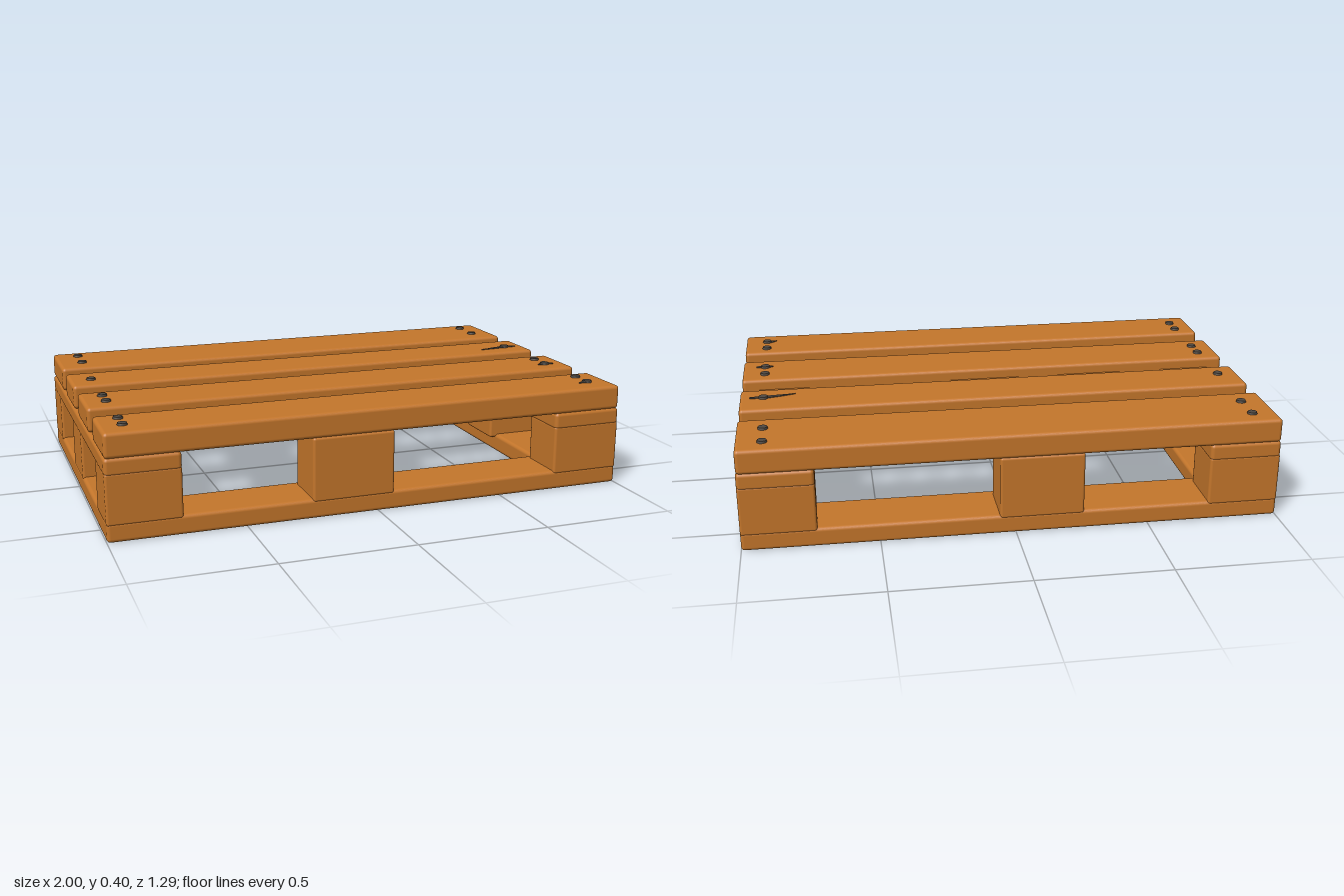
import * as THREE from 'three';
import { RoundedBoxGeometry } from 'three/addons/geometries/RoundedBoxGeometry.js';

export function createModel() {
  const model = new THREE.Group();
  model.name = 'pallet';
  const wood = new THREE.MeshStandardMaterial({ name: 'wood', color: 0xc4762b });
  const iron = new THREE.MeshStandardMaterial({ name: 'nail iron', color: 0x4f4841 });

  // Softly rounded timber given by its extents on each axis
  function timber(name, [x0, x1], [y0, y1], [z0, z1], r = 0.014) {
    const geo = new RoundedBoxGeometry(x1 - x0, y1 - y0, z1 - z0, 3, r);
    const mesh = new THREE.Mesh(geo, wood);
    mesh.name = name;
    mesh.position.set((x0 + x1) / 2, (y0 + y1) / 2, (z0 + z1) / 2);
    model.add(mesh);
  }

  const ends = [[-1, -0.73], [0.725, 1]];
  const middle = [-0.255, 0.06];
  const front = [0.45, 0.643];
  const back = [-0.643, -0.448];

  // Bottom frame: two long runners joined by two end runners
  timber('frontRunner', [-1, 1], [0, 0.073], [0.43, 0.643]);
  timber('backRunner', [-1, 1], [0, 0.073], [-0.643, -0.42]);
  for (const [a, b] of [[-1, -0.75], [0.75, 1]]) {
    timber('endRunner', [a, b], [0, 0.073], [-0.643, 0.643]);
  }

  // Spacer blocks: corners, end middles and the centres of the long sides
  for (const x of ends) {
    for (const z of [front, [-0.1, 0.113], back]) timber('endBlock', x, [0.06, 0.25], z, 0.01);
    timber('endCrossBoard', x, [0.237, 0.303], [-0.643, 0.643]);
  }
  for (const z of [front, back]) timber('middleBlock', middle, [0.06, 0.303], z, 0.01);

  // Inset cross boards seen between the deck boards
  for (const x of [[-0.94, -0.73], [-0.56, -0.29], [-0.13, 0.16], [0.73, 0.935]]) {
    timber('insetCrossBoard', x, [0.297, 0.35], [-0.62, 0.62], 0.006);
  }

  // Deck boards
  for (const z of [[-0.645, -0.352], [-0.26, -0.042], [0.067, 0.303], [0.407, 0.643]]) {
    timber('deckBoard', [-0.998, 0.998], [0.3, 0.392], z);
  }

  // Nail heads near both ends of the deck
  const nailGeo = new THREE.CylinderGeometry(0.017, 0.02, 0.012, 12);
  for (const z of [-0.57, -0.447, -0.135, 0.135, 0.22, 0.465, 0.55]) {
    for (const x of [z < -0.4 ? -0.903 : -0.915, z < -0.4 ? 0.902 : 0.908]) {
      const nail = new THREE.Mesh(nailGeo, iron);
      nail.name = 'nail';
      nail.position.set(x, 0.394, z);
      model.add(nail);
    }
  }

  // Thin dark scuffs beside a few nails
  function scuff(points) {
    const shape = new THREE.Shape(points.map(([x, z]) => new THREE.Vector2(x, -z)));
    const geo = new THREE.ExtrudeGeometry(shape, { depth: 0.004, bevelEnabled: false });
    const mesh = new THREE.Mesh(geo.rotateX(-Math.PI / 2), iron);
    mesh.name = 'scuff';
    mesh.position.y = 0.391;
    model.add(mesh);
  }
  scuff([[0.785, -0.11], [0.88, -0.118], [0.96, -0.128], [0.96, -0.138], [0.9, -0.143], [0.84, -0.128]]);
  scuff([[0.875, 0.225], [0.9, 0.235], [0.945, 0.228], [0.945, 0.216], [0.9, 0.208]]);
  scuff([[0.868, 0.56], [0.9, 0.566], [0.91, 0.54], [0.885, 0.545]]);

  return model;
}
